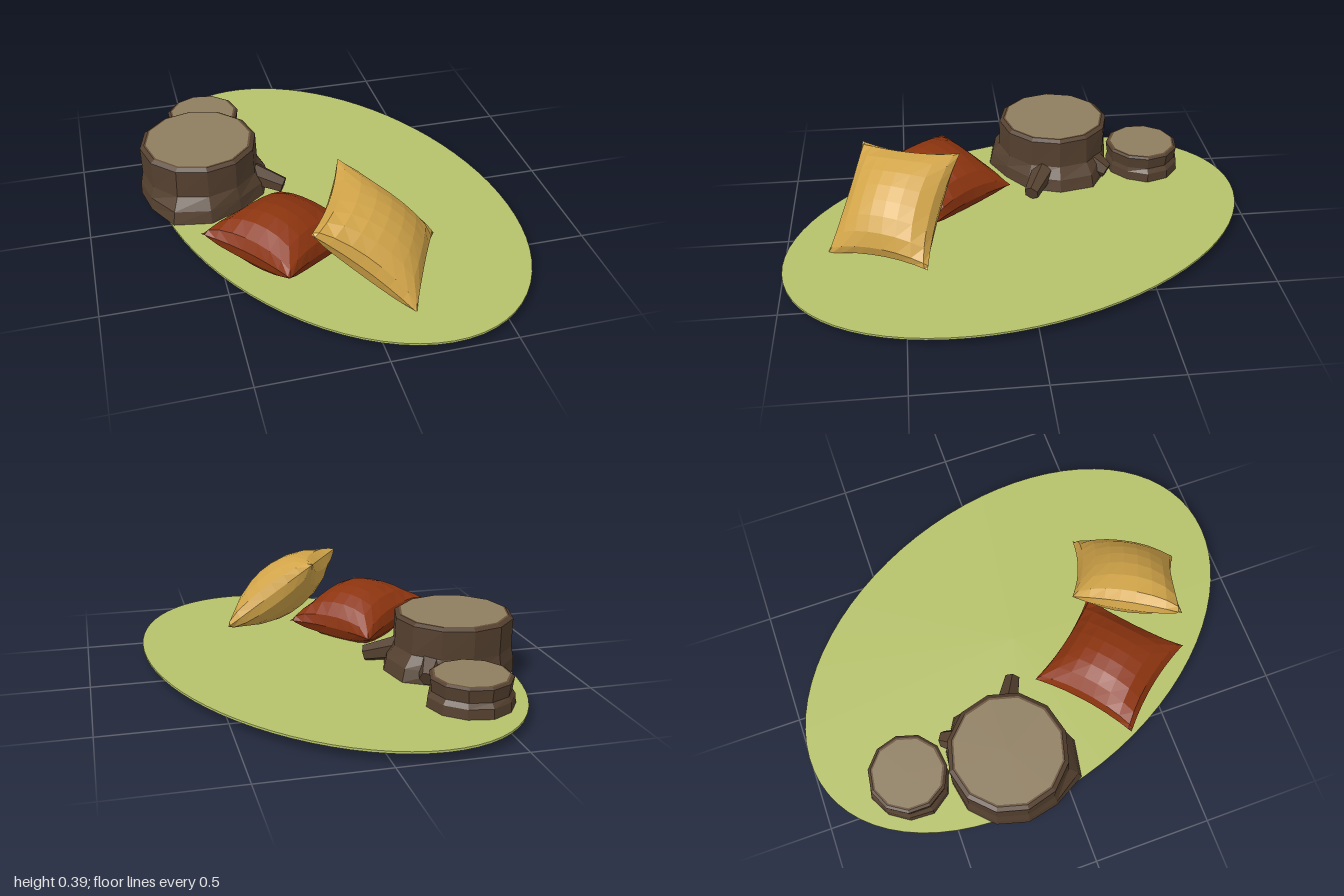
import * as THREE from 'three';

const BARK = 0x54402f, RING = 0x695138, WOOD = 0x8e7e60;

function mesh(name, geometry, color) {
  const material = new THREE.MeshStandardMaterial({ color, flatShading: true });
  const m = new THREE.Mesh(geometry, material);
  m.name = name;
  return m;
}

function indexed(points, index) {
  const g = new THREE.BufferGeometry();
  g.setAttribute('position', new THREE.Float32BufferAttribute(points, 3));
  g.setIndex(index);
  g.computeVertexNormals();
  return g;
}

// Cushion: two bulged sheets meeting at a seam, with edges drawn in between the corners
function cushion(name, color, centre, u, v, thickness) {
  const C = new THREE.Vector3(...centre), U = new THREE.Vector3(...u), V = new THREE.Vector3(...v);
  const N = new THREE.Vector3().crossVectors(U, V).normalize();
  const knots = [-1, -0.93, -0.7, -0.42, -0.14, 0.14, 0.42, 0.7, 0.93, 1];
  const n = knots.length, points = [], index = [];
  const bulge = t => Math.sqrt(1 - t * t);
  for (const side of [1, -1]) {
    const base = points.length / 3;
    for (const a of knots) for (const b of knots) {
      const p = C.clone()
        .addScaledVector(U, a * (1 - 0.1 * (1 - b * b)))
        .addScaledVector(V, b * (1 - 0.1 * (1 - a * a)))
        .addScaledVector(N, side * thickness * bulge(a) * bulge(b));
      points.push(p.x, p.y, p.z);
    }
    for (let i = 0; i < n - 1; i++) for (let j = 0; j < n - 1; j++) {
      const p = base + i * n + j, q = p + n;
      if (side > 0) index.push(p, q, q + 1, p, q + 1, p + 1);
      else index.push(p, q + 1, q, p, p + 1, q + 1);
    }
  }
  return mesh(name, indexed(points, index), color);
}

// Stump: stacked rings [height, radius, share of root flare], capped with a wood disc
function stump(name, x, z, rings, flare) {
  const n = flare.length, points = [], index = [];
  for (const [y, r, share] of rings) {
    flare.forEach((f, i) => {
      const a = i / n * Math.PI * 2, R = r + f * share;
      points.push(Math.cos(a) * R, y, Math.sin(a) * R);
    });
  }
  for (let k = 0; k < rings.length - 1; k++) for (let i = 0; i < n; i++) {
    const j = (i + 1) % n, a = k * n + i, b = k * n + j;
    index.push(a, a + n, b, b, a + n, b + n);
  }
  // underside
  const foot = points.length / 3;
  points.push(0, rings[0][0], 0);
  for (let i = 0; i < n; i++) index.push(foot, i, (i + 1) % n);

  const group = new THREE.Group();
  group.name = name;
  group.position.set(x, 0, z);
  group.add(mesh('bark', indexed(points, index), BARK));
  const [top, r] = rings[rings.length - 1];
  [['innerBark', r, RING, 0], ['cutWood', r - 0.008, WOOD, 0.001]].forEach(([part, radius, color, lift]) => {
    const disc = mesh(part, new THREE.CircleGeometry(radius, n).rotateX(-Math.PI / 2), color);
    disc.position.y = top + lift;
    group.add(disc);
  });
  return group;
}

// Root: tapered six-sided stub between two points
function root(from, to, r0, r1) {
  const a = new THREE.Vector3(...from), b = new THREE.Vector3(...to);
  const dir = b.clone().sub(a);
  const m = mesh('root', new THREE.CylinderGeometry(r1, r0, dir.length(), 6), BARK);
  m.position.copy(a).add(b).multiplyScalar(0.5);
  m.quaternion.setFromUnitVectors(new THREE.Vector3(0, 1, 0), dir.normalize());
  return m;
}

export function createModel() {
  const model = new THREE.Group();
  model.name = 'seatingCorner';

  // Oval rug, turned on the ground
  const rug = mesh('rug', new THREE.CylinderGeometry(1, 1, 0.009, 72)
    .scale(0.672, 1, 1.043).rotateY(0.382), 0xb6c26a);
  rug.position.set(0.025, 0.04, 0);
  model.add(rug);

  // Large stump with spreading roots
  model.add(stump('largeStump', -0.497, -0.21,
    [[0.045, 0.25, 1], [0.1, 0.25, 0.75], [0.15, 0.247, 0.15], [0.27, 0.25, 0], [0.282, 0.232, 0]],
    [0.05, 0.04, 0.02, 0.05, 0.065, 0.02, 0.013, 0.012, 0.01, 0, 0.02, 0.06]));
  model.add(root([-0.3, 0.12, -0.15], [-0.155, 0.075, -0.07], 0.055, 0.035));
  model.add(root([-0.36, 0.12, -0.36], [-0.31, 0.08, -0.44], 0.06, 0.035));

  // Small stump
  model.add(stump('smallStump', -0.42, -0.622,
    [[0.045, 0.165, 1], [0.085, 0.163, 0.9], [0.105, 0.158, 0.1], [0.157, 0.166, 0], [0.165, 0.154, 0]],
    [0.014, 0, 0, 0, 0.01, 0.015, 0.01, 0.008, 0.014, 0.01, 0.012]));

  // Cushions: one lying nearly flat, the other leaning on it
  model.add(cushion('redCushion', 0x8c340f, [-0.245, 0.135, 0.34],
    [0.14, 0, 0.175], [-0.185, 0.035, 0.145], 0.135));
  model.add(cushion('yellowCushion', 0xd2a549, [0.08, 0.215, 0.535],
    [0.185, -0.16, 0.08], [-0.105, -0.017, 0.205], 0.125));

  return model;
}
